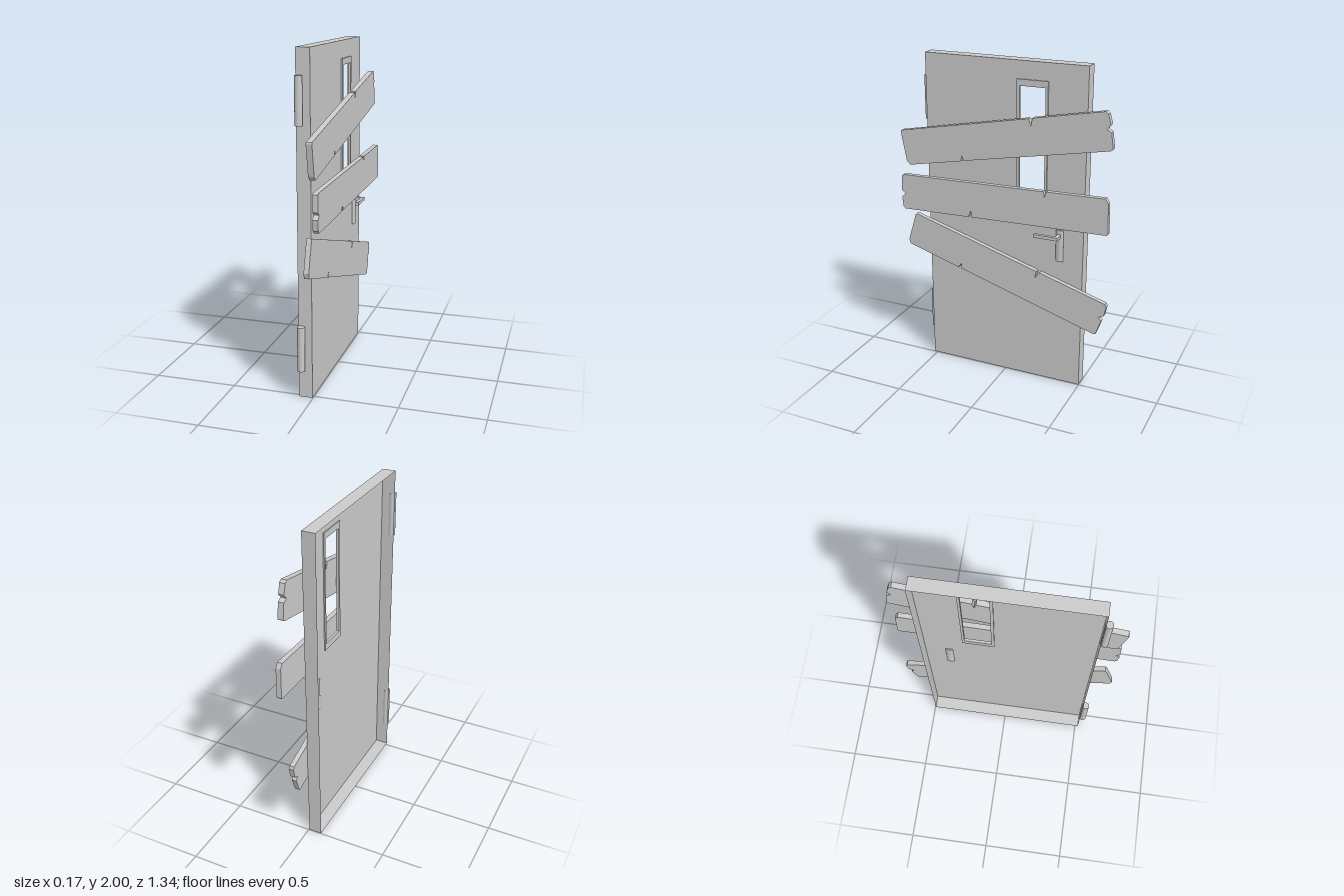
import * as THREE from 'three';

const V = (pts) => pts.map(([x, y]) => new THREE.Vector2(x, y));
const rect = (x0, x1, y0, y1) => V([[x0, y0], [x1, y0], [x1, y1], [x0, y1]]);

export function createModel() {
  const model = new THREE.Group();
  model.name = 'boardedDoor';
  // Built facing +z (x across the door, z its depth), then turned to face +x
  const door = new THREE.Group();
  door.name = 'door';
  door.rotation.y = Math.PI / 2;
  model.add(door);

  const solid = new THREE.MeshStandardMaterial({ color: 0xcccccc });
  const open = new THREE.MeshStandardMaterial({ color: 0xcccccc, side: THREE.DoubleSide });

  const add = (name, geometry, x, y, z, material = solid) => {
    const mesh = new THREE.Mesh(geometry, material);
    mesh.name = name;
    mesh.position.set(x, y, z);
    door.add(mesh);
    return mesh;
  };
  const box = (name, x0, x1, y0, y1, z0, z1) =>
    add(name, new THREE.BoxGeometry(x1 - x0, y1 - y0, z1 - z0), (x0 + x1) / 2, (y0 + y1) / 2, (z0 + z1) / 2);
  const slab = (shape, depth) => new THREE.ExtrudeGeometry(shape, { depth, bevelEnabled: false });

  // Door leaf: face with window opening, four edges, open at the back
  const left = -0.52, right = 0.497, back = -0.084, front = -0.003;
  const midX = (left + right) / 2, midZ = (back + front) / 2;
  const width = right - left, depth = front - back;
  const windowHole = rect(0.088, 0.247, 1.21, 1.857);
  const face = new THREE.Shape(rect(left, right, 0, 2));
  face.holes.push(new THREE.Path(windowHole));
  add('doorFace', new THREE.ShapeGeometry(face), 0, 0, front, open);
  for (const s of [-1, 1]) {
    add('doorSideEdge', new THREE.PlaneGeometry(depth, 2).rotateY(s * Math.PI / 2), s < 0 ? left : right, 1, midZ, open);
    add(s < 0 ? 'doorBottomEdge' : 'doorTopEdge',
      new THREE.PlaneGeometry(width, depth).rotateX(-s * Math.PI / 2), midX, s < 0 ? 0 : 2, midZ, open);
  }

  // Window frame
  const frame = new THREE.Shape(rect(0.07, 0.262, 1.17, 1.895));
  frame.holes.push(new THREE.Path(windowHole));
  add('windowFrame', slab(frame, 0.016), 0, 0, -0.01);

  // Hinges
  for (const y of [0.305, 1.72]) {
    add('hinge', new THREE.CylinderGeometry(0.022, 0.022, 0.268, 24), -0.538, y, -0.063);
  }

  // Handle: rounded back plate, spindle and lever
  const plate = add('handlePlate', new THREE.CylinderGeometry(0.024, 0.024, 0.2, 16), 0.35, 0.92, 0);
  plate.scale.z = 0.5;
  box('handleSpindle', 0.34, 0.36, 0.975, 0.995, 0, 0.05);
  box('handleLever', 0.207, 0.36, 0.975, 0.995, 0.05, 0.07);

  // Nailed boards: one splintered plank outline, laid at three angles
  const plank = new THREE.Shape(V([
    [-0.667, 0.1], [-0.662, 0.109], [0.191, 0.109], [0.196, 0.065], [0.213, 0.11], [0.65, 0.11],
    [0.664, 0.094], [0.669, 0.033], [0.642, 0.011], [0.666, -0.009], [0.661, -0.105], [0.646, -0.112],
    [-0.277, -0.109], [-0.282, -0.075], [-0.294, -0.11], [-0.65, -0.11], [-0.667, -0.082],
  ]));
  const boards = [
    ['upperBoard', 1.543, 0.021, 0.034, 10.9],
    ['middleBoard', 1.158, 0.052, 0.031, 181.5],
    ['lowerBoard', 0.689, -0.002, 0.03, -16.8],
  ];
  for (const [name, y, z, thickness, angle] of boards) {
    add(name, slab(plank, thickness), 0, y, z).rotation.z = THREE.MathUtils.degToRad(angle);
  }
  return model;
}
